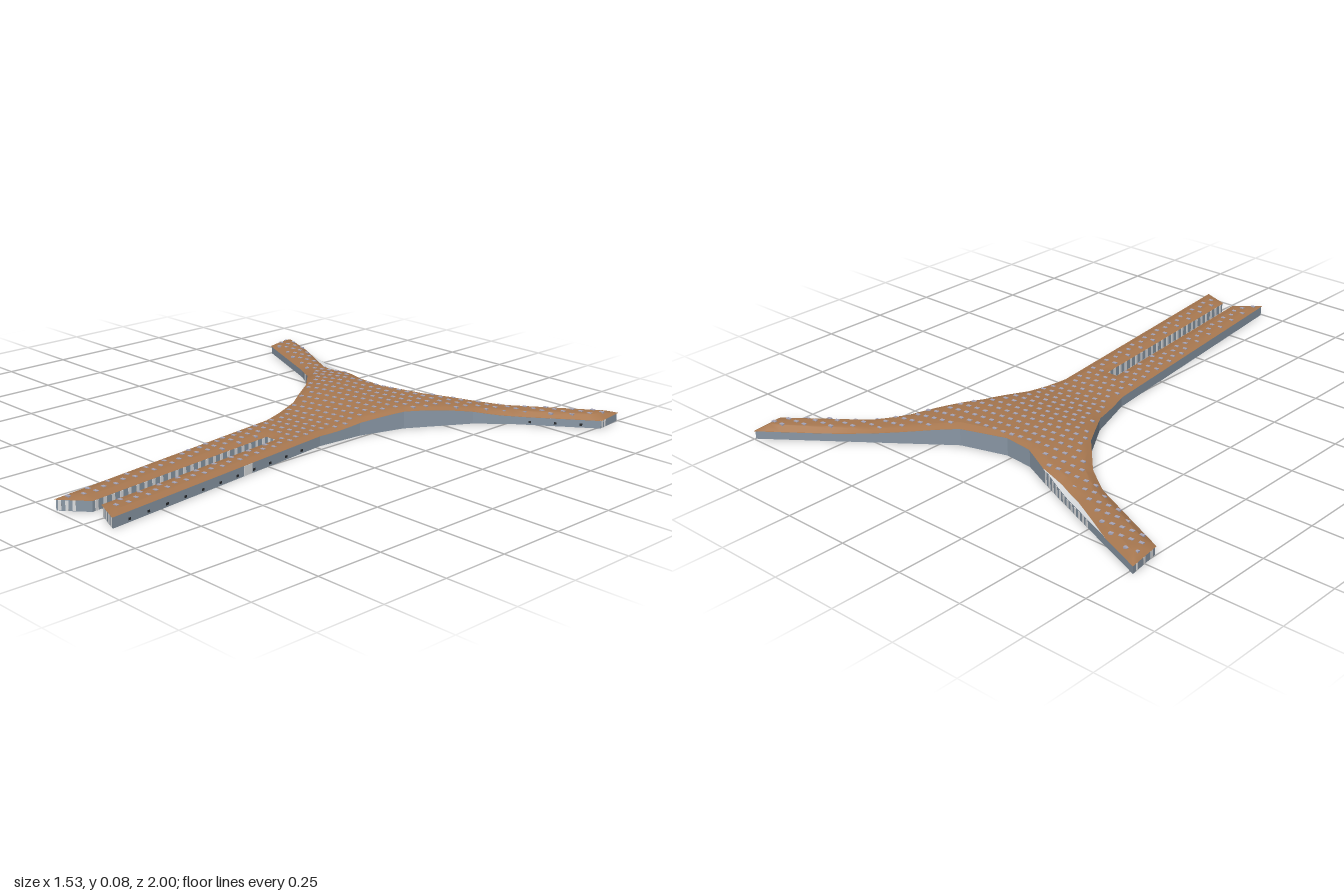
import * as THREE from 'three';
import { mergeGeometries, mergeVertices } from 'three/addons/utils/BufferGeometryUtils.js';

const RIDGE = 0.045;
const { smoothstep, lerp } = THREE.MathUtils;

const mat = (name, color, side = THREE.FrontSide) => {
  const m = new THREE.MeshStandardMaterial({ color, side });
  m.name = name;
  return m;
};

// Roof outline in x, z; the first points follow the recessed glazing on one arm
const ROOF = [
  [-0.77, -0.82], [-0.6, -0.751], [-0.5, -0.697], [-0.4, -0.645], [-0.3, -0.609], [-0.2, -0.589],
  [-0.09, -0.54], [0.02, -0.53], [0.19, -0.58], [0.75, -1], [0.765, -0.88], [0.52, -0.69],
  [0.42, -0.59], [0.29, -0.37], [0.24, -0.2], [0.225, -0.02], [0.34, 0.96], [0.235, 0.92],
  [0.15, 0.12], [0.105, 0.12], [0.19, 0.92], [0.1, 1], [-0.025, 0], [-0.09, -0.19],
  [-0.19, -0.35], [-0.31, -0.475], [-0.41, -0.54], [-0.75, -0.69],
];

// Height gained over the central hall
function bump(x, z) {
  const d = Math.hypot(Math.max(0, Math.abs(x - 0.08) - 0.12), z + 0.45);
  return 0.03 * (1 - smoothstep(d, 0.04, 0.4));
}

// Roof edge height, lower on the two rear arms
const eave = (x, z) => 0.038 - 0.008 * smoothstep(Math.abs(x - 0.08), 0.28, 0.48) + bump(x, z);

// Move every side of the outline inwards by d
function inset(pts, d) {
  const normal = (a, b) => {
    const l = Math.hypot(b[0] - a[0], b[1] - a[1]);
    return [-(b[1] - a[1]) / l, (b[0] - a[0]) / l];
  };
  const n = pts.length;
  return pts.map((p, i) => {
    const u = normal(pts[(i + n - 1) % n], p), v = normal(p, pts[(i + 1) % n]);
    const k = d / (1 + u[0] * v[0] + u[1] * v[1]);
    return [p[0] + k * (u[0] + v[0]), p[1] + k * (u[1] + v[1])];
  });
}

function inside(pts, x, z) {
  let hit = false;
  pts.forEach((a, i) => {
    const b = pts[(i + 1) % pts.length];
    if ((a[1] > z) !== (b[1] > z) && x < a[0] + (z - a[1]) / (b[1] - a[1]) * (b[0] - a[0])) hit = !hit;
  });
  return hit;
}

const triangulate = (pts) =>
  THREE.ShapeUtils.triangulateShape(pts.map((p) => new THREE.Vector2(p[0], p[1])), []);

function surface(pos) {
  const g = new THREE.BufferGeometry();
  g.setAttribute('position', new THREE.Float32BufferAttribute(pos, 3));
  return g;
}

function flat(pos) {
  const g = surface(pos);
  g.computeVertexNormals();
  return g;
}

// Height of the roof: t runs from 0 at the edge to 1 on the inner field
const roofY = (x, z, t) => lerp(eave(x, z), RIDGE + bump(x, z), t);

// Split long triangle sides in half, then lift the corners [x, t, z] to the roof height
function addSplit(out, a, b, c) {
  const len = (p, q) => Math.hypot(p[0] - q[0], p[2] - q[2]);
  const ab = len(a, b), bc = len(b, c), ca = len(c, a);
  const most = Math.max(ab, bc, ca);
  if (most < 0.05) {
    for (const [x, t, z] of [a, c, b]) out.push(x, roofY(x, z, t), z);
    return;
  }
  if (bc === most) [a, b, c] = [b, c, a];
  else if (ca === most) [a, b, c] = [c, a, b];
  const m = a.map((v, i) => (v + b[i]) / 2);
  addSplit(out, a, m, c);
  addSplit(out, m, b, c);
}

export function createModel() {
  const group = new THREE.Group();
  const roofMat = mat('copper roof', 0xa87850, THREE.DoubleSide);
  const wallMat = mat('blue grey glass', 0x8a98a6, THREE.DoubleSide);
  const paleMat = mat('pale panel', 0xdcdee0, THREE.DoubleSide);
  const floorMat = mat('light grey base', 0xc0c0c0, THREE.DoubleSide);
  const lightMat = mat('skylight glass', 0xa8a6b8);
  const doorMat = mat('dark opening', 0x25282c);
  const add = (name, geo, material) => {
    const mesh = new THREE.Mesh(geo, material);
    mesh.name = name;
    group.add(mesh);
  };
  const n = ROOF.length;
  const inner = inset(ROOF, 0.028);

  // Walls stand just inside the roof, straight past the glazing recess
  const wall = inset(ROOF, 0.003);
  for (let i = 1; i < 5; i++) wall[i][1] = -0.818 + (ROOF[i][0] + 0.77) * 0.4035;

  // Roof: sloping rim and domed inner field, smoothly shaded
  const roof = [];
  const low = (p) => [p[0], 0, p[1]], high = (p) => [p[0], 1, p[1]];
  for (let i = 0; i < n; i++) {
    const j = (i + 1) % n;
    addSplit(roof, low(ROOF[i]), low(ROOF[j]), high(inner[j]));
    addSplit(roof, low(ROOF[i]), high(inner[j]), high(inner[i]));
  }
  for (const [a, b, c] of triangulate(inner)) addSplit(roof, high(inner[a]), high(inner[b]), high(inner[c]));
  const roofGeo = mergeVertices(surface(roof));
  roofGeo.computeVertexNormals();
  add('roof', roofGeo, roofMat);

  // Base
  const floor = [];
  for (const f of triangulate(wall)) for (const k of f) floor.push(wall[k][0], 0, wall[k][1]);
  add('base', flat(floor), floorMat);

  // Glass walls, roof soffit, and the sloping glazing of the recess
  const walls = [], soffit = [], glazing = [];
  const quad = (out, a, b, c, d) => out.push(...a, ...b, ...c, ...a, ...c, ...d);
  const mix = (a, b, t) => [lerp(a[0], b[0], t), lerp(a[1], b[1], t)];
  const at = (p, y) => [p[0], y, p[1]];
  const top = (p) => at(p, eave(p[0], p[1]) - 0.001);
  for (let i = 0; i < n; i++) {
    const j = (i + 1) % n;
    const steps = Math.ceil(Math.hypot(wall[j][0] - wall[i][0], wall[j][1] - wall[i][1]) / 0.05);
    for (let s = 0; s < steps; s++) {
      const a = mix(wall[i], wall[j], s / steps), b = mix(wall[i], wall[j], (s + 1) / steps);
      const c = mix(ROOF[i], ROOF[j], s / steps), d = mix(ROOF[i], ROOF[j], (s + 1) / steps);
      quad(walls, at(a, 0), top(a), top(b), at(b, 0));
      quad(i > 0 && i < 5 ? glazing : soffit, top(a), top(c), top(d), top(b));
    }
  }
  add('walls', flat(walls), wallMat);
  add('soffit', flat(soffit), roofMat);
  add('slopingGlazing', flat(glazing), paleMat);

  // Thin plates spaced along one wall side; height 0 means full height
  function plates(out, i, spacing, width, height, y, from = 0, to = 1) {
    const a = wall[i], b = wall[(i + 1) % n];
    const len = Math.hypot(b[0] - a[0], b[1] - a[1]);
    const count = Math.max(1, Math.floor(len * (to - from) / spacing));
    for (let k = 0; k < count; k++) {
      const p = mix(a, b, from + (to - from) * (k + 0.5) / count);
      const h = height || eave(p[0], p[1]) - 0.004;
      const g = new THREE.BoxGeometry(width, h, 0.003);
      g.rotateY(-Math.atan2(b[1] - a[1], b[0] - a[0]));
      g.translate(p[0], y + h / 2, p[1]);
      out.push(g);
    }
  }

  // Pale panels by the slot, the arm ends and the recessed glazing
  const panels = [];
  for (const i of [2, 3, 4, 16, 18]) plates(panels, i, 0.024, 0.011, 0, 0.001);
  for (const i of [17, 19]) plates(panels, i, 0.034, 0.013, 0, 0.001);
  plates(panels, 9, 0.018, 0.009, 0, 0.001, 0.68, 1);
  plates(panels, 20, 0.022, 0.01, 0, 0.001, 0.4, 1);
  plates(panels, 27, 0.04, 0.01, 0, 0.001);
  plates(panels, 15, 0.04, 0.04, 0, 0.001, 0.36, 0.4);
  plates(panels, 25, 0.04, 0.01, 0, 0.001, 0.5, 0.6);
  add('palePanels', mergeGeometries(panels), paleMat);

  // Small openings along the outer sides of the arms
  const doors = [];
  plates(doors, 10, 0.075, 0.01, 0.008, 0.007, 0.08, 0.95);
  plates(doors, 15, 0.075, 0.01, 0.008, 0.007, 0.06, 0.97);
  add('openings', mergeGeometries(doors), doorMat);

  // Skylights in slightly turned rows
  const skylights = [], turn = 0.11, field = inset(ROOF, 0.018);
  for (let r = -32; r <= 32; r++) {
    for (let c = -40; c <= 40; c++) {
      const u = (c + (r % 2 ? 0.3 : 0)) * 0.036, v = r * 0.042;
      const x = u * Math.cos(turn) + v * Math.sin(turn), z = v * Math.cos(turn) - u * Math.sin(turn);
      if (!inside(field, x, z)) continue;
      const g = new THREE.BoxGeometry(0.016, 0.006, 0.011);
      g.rotateY(turn);
      g.translate(x, roofY(x, z, inside(inner, x, z) ? 1 : 0.8) - 0.001, z);
      skylights.push(g);
    }
  }
  add('skylights', mergeGeometries(skylights), lightMat);
  return group;
}
